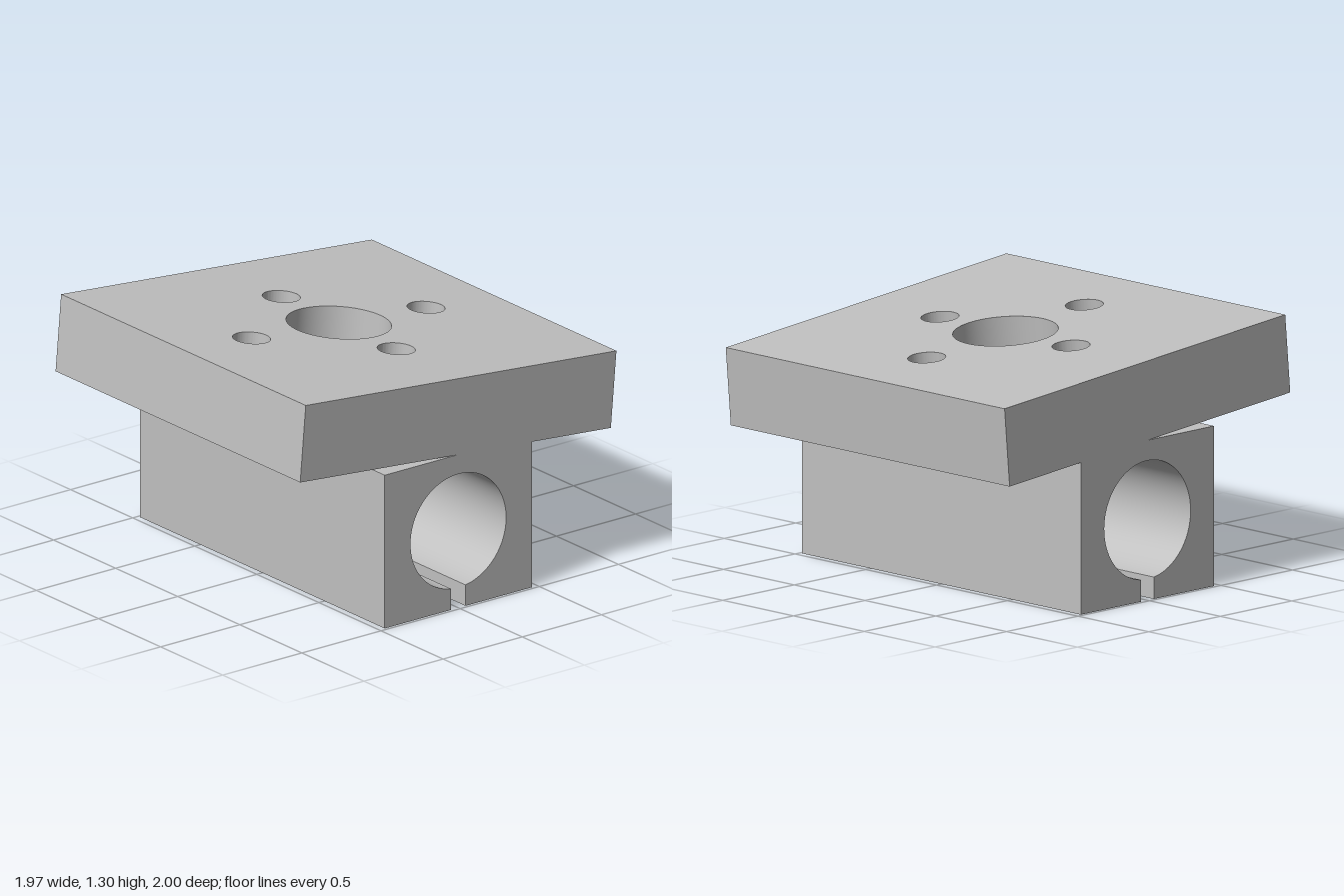
import * as THREE from 'three';
import { toCreasedNormals } from 'three/addons/utils/BufferGeometryUtils.js';

const HALF = 0.985; // half width shared by the block and the plate

// Extrudes a shape centred on its depth, with smooth bores and sharp edges
function extrude(shape, depth) {
  const geometry = new THREE.ExtrudeGeometry(shape, { depth, bevelEnabled: false, curveSegments: 48 });
  geometry.translate(0, 0, -depth / 2);
  return toCreasedNormals(geometry, Math.PI / 6);
}

// Clamp block: square section with a round bore opened by a slot underneath
function clampGeometry() {
  const w = 0.465, top = 0.815, slot = 0.045, r = 0.302, cy = 0.41;
  const a = Math.asin(slot / r);
  const shape = new THREE.Shape();
  shape.moveTo(slot, 0);
  shape.lineTo(w, 0);
  shape.lineTo(w, top);
  shape.lineTo(-w, top);
  shape.lineTo(-w, 0);
  shape.lineTo(-slot, 0);
  shape.absarc(0, cy, r, -Math.PI / 2 - a, -Math.PI / 2 + a, true);
  shape.closePath();
  return extrude(shape, 2 * HALF).rotateY(Math.PI / 2);
}

// Square plate with a central hole and four bolt holes
function plateGeometry(thickness) {
  const shape = new THREE.Shape();
  shape.moveTo(-HALF, -HALF);
  shape.lineTo(HALF, -HALF);
  shape.lineTo(HALF, HALF);
  shape.lineTo(-HALF, HALF);
  shape.closePath();
  const holes = [
    [0, 0, 0.263],
    [0.463, 0, 0.095], [-0.463, 0, 0.095],
    [0, 0.553, 0.095], [0, -0.553, 0.095],
  ];
  for (const [x, y, r] of holes) {
    shape.holes.push(new THREE.Path().absarc(x, y, r, 0, Math.PI * 2, true));
  }
  return extrude(shape, thickness).rotateX(-Math.PI / 2);
}

export function createModel() {
  const group = new THREE.Group();
  group.name = 'tiltedMountClamp';
  const grey = new THREE.MeshStandardMaterial({ color: 0xc0c0c0 });
  grey.name = 'grey';

  const clamp = new THREE.Mesh(clampGeometry(), grey);
  clamp.name = 'clampBlock';

  // Plate rises five degrees towards the front
  const plate = new THREE.Mesh(plateGeometry(0.403), grey);
  plate.name = 'mountingPlate';
  plate.position.y = 1.017;
  plate.rotation.x = -THREE.MathUtils.degToRad(5);

  group.add(clamp, plate);
  return group;
}
